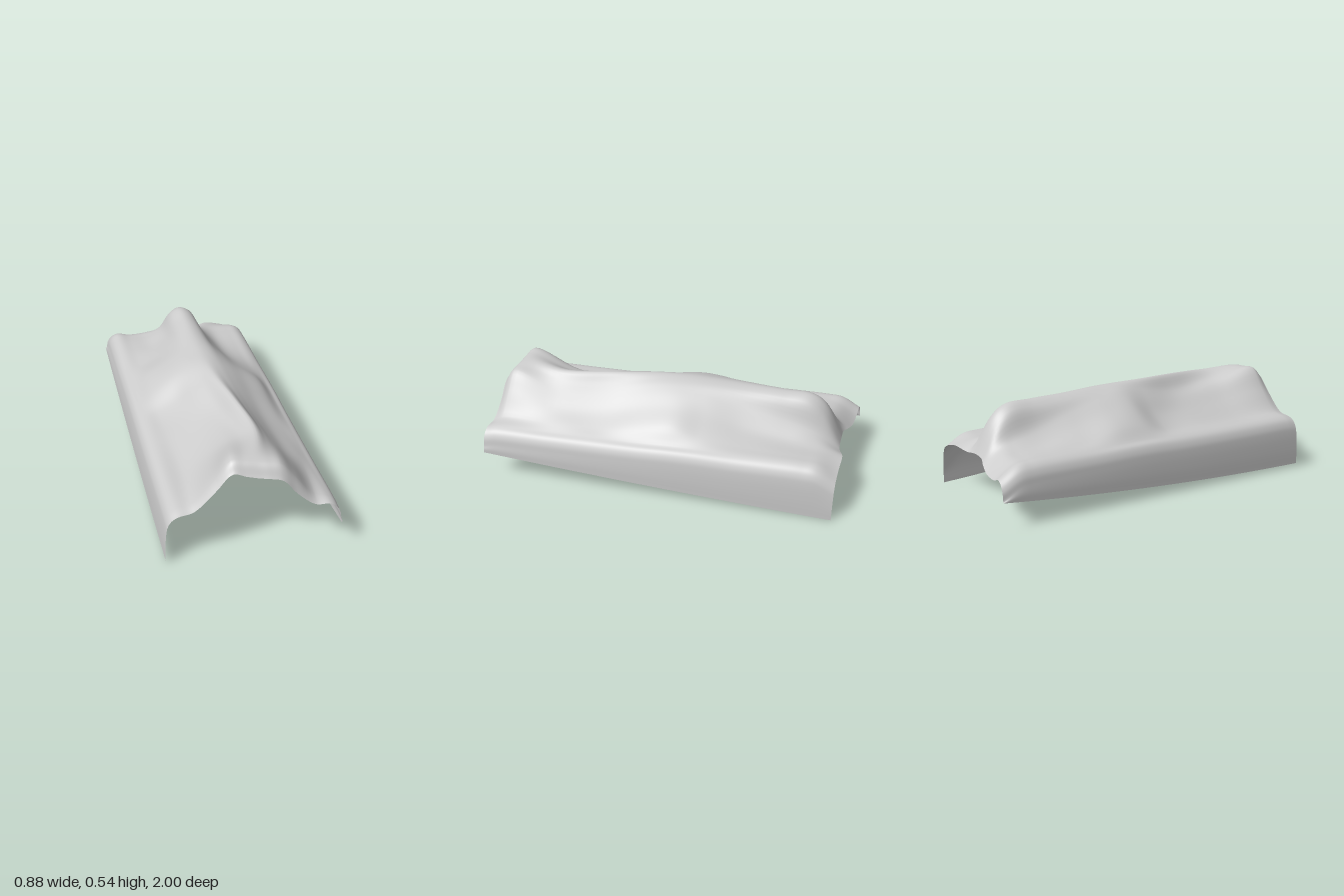
import * as THREE from 'three';

// Heights of the sheet at these columns; the middle column follows the ridge.
const COLUMNS = [-0.3, -0.2, -0.12, -0.06, 0, 0.06, 0.12, 0.2, 0.3];

// Cross-sections from back to front: z, sideways shift of the ridge, edge height, heights.
const SECTIONS = [
  { z: -0.93, shift: 0, edge: 0.212, y: [0.207, 0.21, 0.235, 0.25, 0.258, 0.253, 0.246, 0.262, 0.245] },
  { z: -0.83, shift: 0, edge: 0.27, y: [0.275, 0.285, 0.315, 0.41, 0.45, 0.415, 0.315, 0.29, 0.288] },
  { z: -0.75, shift: 0, edge: 0.278, y: [0.29, 0.30, 0.345, 0.465, 0.502, 0.475, 0.35, 0.30, 0.295] },
  { z: -0.6, shift: 0, edge: 0.28, y: [0.30, 0.32, 0.38, 0.475, 0.51, 0.49, 0.39, 0.315, 0.30] },
  { z: -0.4, shift: 0, edge: 0.28, y: [0.315, 0.37, 0.437, 0.495, 0.517, 0.50, 0.43, 0.35, 0.31] },
  { z: -0.2, shift: 0, edge: 0.285, y: [0.362, 0.427, 0.48, 0.51, 0.527, 0.517, 0.475, 0.405, 0.34] },
  { z: -0.05, shift: 0, edge: 0.285, y: [0.36, 0.435, 0.485, 0.515, 0.533, 0.522, 0.49, 0.435, 0.37] },
  { z: 0.11, shift: 0.01, edge: 0.28, y: [0.315, 0.375, 0.445, 0.49, 0.535, 0.515, 0.478, 0.42, 0.355] },
  { z: 0.35, shift: 0.055, edge: 0.278, y: [0.308, 0.36, 0.417, 0.462, 0.533, 0.488, 0.437, 0.375, 0.322] },
  { z: 0.62, shift: 0.09, edge: 0.278, y: [0.302, 0.375, 0.455, 0.485, 0.525, 0.484, 0.435, 0.375, 0.323] },
  { z: 0.895, shift: 0.03, edge: 0.278, y: [0.308, 0.425, 0.537, 0.535, 0.528, 0.522, 0.51, 0.425, 0.312] },
  { z: 0.95, shift: 0.03, edge: 0.268, y: [0.297, 0.40, 0.49, 0.475, 0.463, 0.457, 0.442, 0.355, 0.283] },
];

// Outlines of the back and front hems as [x, z]
const BACK_HEM = [[-0.44, -1], [-0.15, -0.96], [-0.07, -0.925], [0.1, -0.915], [0.2, -0.94], [0.44, -0.92]];
const FRONT_HEM = [[-0.44, 0.92], [-0.1, 0.915], [0.1, 0.955], [0.44, 1]];

function hemAt(hem, x) {
  let i = 1;
  while (i < hem.length - 1 && x > hem[i][0]) i++;
  const [x0, z0] = hem[i - 1], [x1, z1] = hem[i];
  return THREE.MathUtils.mapLinear(THREE.MathUtils.clamp(x, x0, x1), x0, x1, z0, z1);
}

// Hanging side: rounded shoulder down to a slanting, slightly sagging lower hem
function sidePoints(side, edge, t) {
  const sag = t * (1 - t);
  const low = side > 0 ? 0.15 * t - 0.04 * sag : 0.13 - 0.115 * t - 0.09 * sag;
  const flare = side > 0 ? (t - 0.5) * 0.02 : 0.004;
  const mid = THREE.MathUtils.lerp(edge - 0.08, low, 0.5);
  return [[0.365, edge + 0.014], [0.4, edge - 0.006], [0.42, edge - 0.04], [0.428, edge - 0.08], [0.434, mid], [0.435, low]]
    .map(([x, y]) => [side * (x + flare), y]);
}

function sectionPoints({ z, shift, edge, y }) {
  const t = (z + 0.93) / 1.88;
  const top = COLUMNS.map((c, i) => [c + shift * (1 - Math.abs(c) / 0.4), y[i]]);
  const profile = [...sidePoints(-1, edge, t).reverse(), ...top, ...sidePoints(1, edge, t)];
  return profile.map(([x, h]) =>
    new THREE.Vector3(x, h, THREE.MathUtils.lerp(hemAt(BACK_HEM, x), hemAt(FRONT_HEM, x), t)));
}

export function createModel() {
  const group = new THREE.Group();
  group.name = 'drapedSheet';

  // Lengthwise curves through matching points of the cross-sections
  const rows = SECTIONS.map(sectionPoints);
  const rails = rows[0].map((_, i) => new THREE.CatmullRomCurve3(rows.map((row) => row[i])));

  // Bend a plane grid over the curves
  const across = (rails.length - 1) * 5, along = (rows.length - 1) * 8;
  const geometry = new THREE.PlaneGeometry(1, 1, across, along);
  const position = geometry.attributes.position;
  for (let j = 0, k = 0; j <= along; j++) {
    const curve = new THREE.CatmullRomCurve3(rails.map((rail) => rail.getPoint(j / along)));
    for (let i = 0; i <= across; i++, k++) {
      const p = curve.getPoint(i / across);
      position.setXYZ(k, p.x, Math.max(p.y, 0), p.z);
    }
  }
  geometry.computeVertexNormals();

  const sheet = new THREE.Mesh(geometry,
    new THREE.MeshStandardMaterial({ color: 0xcccccc, side: THREE.DoubleSide }));
  sheet.name = 'sheet';
  group.add(sheet);
  return group;
}
